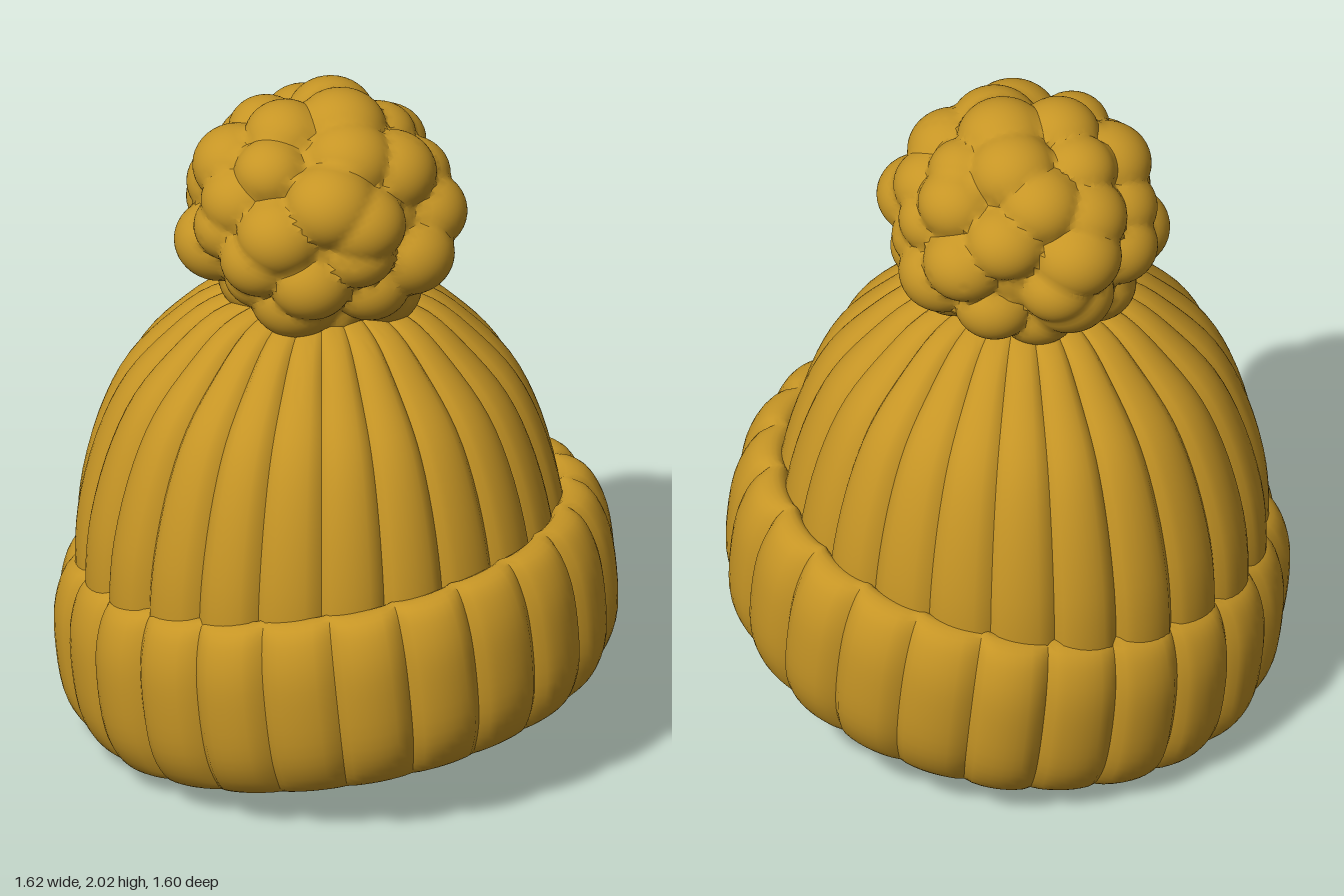
import * as THREE from 'three';
import { mergeVertices, toCreasedNormals } from 'three/addons/utils/BufferGeometryUtils.js';

const RIBS = 23;
const PER_RIB = 8;

function seeded(seed) {
  return () => {
    seed = (seed * 16807) % 2147483647;
    return seed / 2147483647;
  };
}

// Revolves a profile of [radius, height, ribDepth] points, scalloping it into knitted ribs.
function ribbedLathe(profile, rows, seed, place) {
  const rand = seeded(seed);
  const fullness = Array.from({ length: RIBS }, () => 0.7 + 0.3 * rand());
  const curve = new THREE.CatmullRomCurve3(profile.map((p) => new THREE.Vector3(...p)));
  const cols = RIBS * PER_RIB;
  const positions = [];
  const index = [];
  for (let i = 0; i <= rows; i++) {
    const p = curve.getPoint(i / rows);
    const depth = Math.max(p.z, 0);
    for (let j = 0; j < cols; j++) {
      const angle = Math.PI + (j / cols) * Math.PI * 2;
      const rib = Math.floor((j + PER_RIB / 2) / PER_RIB) % RIBS;
      const scallop = Math.sqrt(Math.abs(Math.cos((j / PER_RIB) * Math.PI)));
      const r = Math.max(p.x - depth + depth * fullness[rib] * scallop, 0);
      positions.push(...place(r * Math.sin(angle), p.y, r * Math.cos(angle)));
      if (i < rows) {
        const k = (j + 1) % cols;
        const a = i * cols + j, b = a + cols;
        const c = (i + 1) * cols + k, d = i * cols + k;
        index.push(a, b, c, a, c, d);
      }
    }
  }
  const geometry = new THREE.BufferGeometry();
  geometry.setAttribute('position', new THREE.Float32BufferAttribute(positions, 3));
  geometry.setIndex(index);
  return toCreasedNormals(geometry, 0.75);
}

// A ball whose surface swells into rounded tufts around evenly spread directions.
function tuftedBall(rx, ry, rz, tufts) {
  const rand = seeded(91);
  const centres = [];
  for (let i = 0; i < tufts; i++) {
    const y = 1 - (2 * (i + 0.5)) / tufts;
    const a = i * 2.39996 + (rand() - 0.5) * 0.5;
    const s = Math.sqrt(1 - y * y);
    centres.push({
      dir: new THREE.Vector3(s * Math.cos(a), y, s * Math.sin(a)),
      size: 0.26 + rand() * 0.07,
      reach: 0.67 + rand() * 0.07,
    });
  }
  let geometry = new THREE.IcosahedronGeometry(1, 24);
  geometry.deleteAttribute('normal');
  geometry.deleteAttribute('uv');
  geometry = mergeVertices(geometry);
  const pos = geometry.attributes.position;
  const v = new THREE.Vector3();
  for (let i = 0; i < pos.count; i++) {
    v.fromBufferAttribute(pos, i).normalize();
    let r = 0.82;
    // Distance along this direction to the far side of each tuft's sphere
    for (const t of centres) {
      const along = t.reach * v.dot(t.dir);
      const h = t.size * t.size - t.reach * t.reach + along * along;
      if (along > 0 && h > 0) r = Math.max(r, along + Math.sqrt(h));
    }
    pos.setXYZ(i, v.x * r * rx, v.y * r * ry, v.z * r * rz);
  }
  return toCreasedNormals(geometry, 0.7);
}

export function createModel() {
  const wool = new THREE.MeshStandardMaterial({ color: 0xc69525 });
  wool.name = 'mustard wool';

  const group = new THREE.Group();
  group.name = 'bobbleHat';
  const add = (name, geometry) => {
    const mesh = new THREE.Mesh(geometry, wool);
    mesh.name = name;
    group.add(mesh);
    return mesh;
  };

  // The crown leans slightly to the hat's right
  const crownPlace = (x, y, z) => [x - 0.05, y, z];
  // The cuff slopes up towards the hat's left
  const cuffPlace = (x, y, z) => [x - 0.1 * (y - 0.37), y + 0.165 * x, z];

  // Ribbed crown
  add('crown', ribbedLathe([
    [0, 1.39, 0], [0.2, 1.385, 0.025], [0.335, 1.345, 0.035], [0.46, 1.24, 0.04],
    [0.57, 1.11, 0.04], [0.645, 0.95, 0.04], [0.7, 0.74, 0.04],
    [0.715, 0.58, 0.04], [0.71, 0.42, 0.04],
  ], 28, 17, crownPlace));

  // Turned-up cuff, running over its top edge, down the outside and under
  add('cuff', ribbedLathe([
    [0.64, 0.6, 0], [0.69, 0.645, 0.02], [0.755, 0.625, 0.04], [0.8, 0.53, 0.045],
    [0.812, 0.38, 0.045], [0.797, 0.23, 0.045], [0.75, 0.14, 0.035],
    [0.7, 0.108, 0.01], [0.67, 0.11, 0],
  ], 30, 53, cuffPlace));

  // Smooth shallow hollow inside the cuff
  add('lining', ribbedLathe([
    [0.67, 0.11, 0], [0.61, 0.14, 0], [0.52, 0.175, 0],
    [0.38, 0.215, 0], [0.2, 0.245, 0], [0, 0.255, 0],
  ], 12, 5, cuffPlace));

  // Pompom, its underside sunk into the crown
  const pompom = add('pompom', tuftedBall(0.41, 0.37, 0.4, 48));
  pompom.position.set(-0.055, 1.63, 0);

  return group;
}
